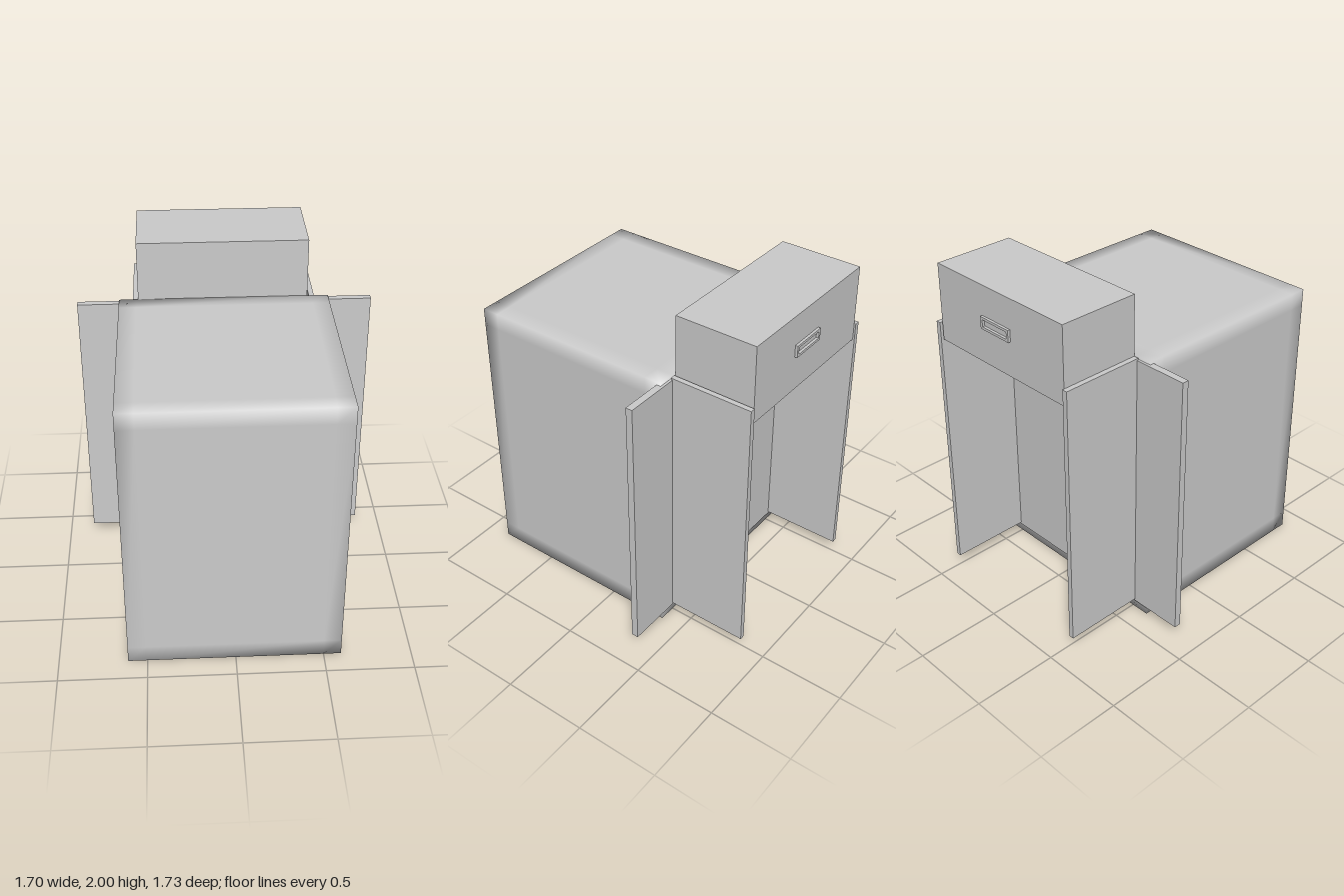
import * as THREE from 'three';
import { mergeVertices } from 'three/addons/utils/BufferGeometryUtils.js';

const grey = new THREE.MeshStandardMaterial({ color: 0xcccccc });

// Box given by its two extremes on each axis
function box(name, [x0, x1], [y0, y1], [z0, z1]) {
  const mesh = new THREE.Mesh(new THREE.BoxGeometry(x1 - x0, y1 - y0, z1 - z0), grey);
  mesh.position.set((x0 + x1) / 2, (y0 + y1) / 2, (z0 + z1) / 2);
  mesh.name = name;
  return mesh;
}

// Square-edged box whose shading rolls softly over a band along each edge
function softBox(w, h, d, band) {
  const geo = new THREE.BoxGeometry(w, h, d, 3, 3, 3);
  const pos = geo.attributes.position;
  const size = [w, h, d];
  for (let i = 0; i < pos.count; i++) {
    for (let a = 0; a < 3; a++) {
      const v = pos.getComponent(i, a);
      if (Math.abs(v) < size[a] / 3) pos.setComponent(i, a, Math.sign(v) * (size[a] / 2 - band));
    }
  }
  geo.deleteAttribute('normal');
  geo.deleteAttribute('uv');
  const merged = mergeVertices(geo);
  merged.computeVertexNormals();
  return merged;
}

// Thin rectangular rim with a rectangular opening
function rimGeometry(w, h, wall, depth) {
  const shape = new THREE.Shape([[-1, -1], [1, -1], [1, 1], [-1, 1]]
    .map(([x, y]) => new THREE.Vector2(x * w / 2, y * h / 2)));
  shape.holes.push(new THREE.Path([[-1, -1], [-1, 1], [1, 1], [1, -1]]
    .map(([x, y]) => new THREE.Vector2(x * (w / 2 - wall), y * (h / 2 - wall)))));
  return new THREE.ExtrudeGeometry(shape, { depth, bevelEnabled: false });
}

export function createModel() {
  const model = new THREE.Group();

  // Main body
  const body = new THREE.Mesh(softBox(1.21, 1.655, 1.23, 0.1), grey);
  body.position.set(-0.005, 0.8275, 0.25);
  body.name = 'body';
  model.add(body);

  // Flat panels across the back, meeting at a centre seam
  model.add(box('leftBackPanel', [0.005, 0.85], [0.06, 1.64], [-0.38, -0.34]));
  model.add(box('rightBackPanel', [-0.85, -0.005], [0.06, 1.64], [-0.38, -0.34]));

  // Side panels reaching backwards
  model.add(box('leftSidePanel', [0.49, 0.52], [0.07, 1.65], [-0.86, -0.37]));
  model.add(box('rightSidePanel', [-0.53, -0.5], [0.07, 1.65], [-0.86, -0.37]));

  // Raised box between the side panels
  model.add(box('topBox', [-0.5, 0.48], [1.55, 2], [-0.85, -0.37]));

  // Recessed plate on the back of the raised box
  const rim = new THREE.Mesh(rimGeometry(0.22, 0.07, 0.015, 0.02), grey);
  rim.position.set(0.01, 1.79, -0.865);
  rim.name = 'plateRim';
  model.add(rim);

  return model;
}
